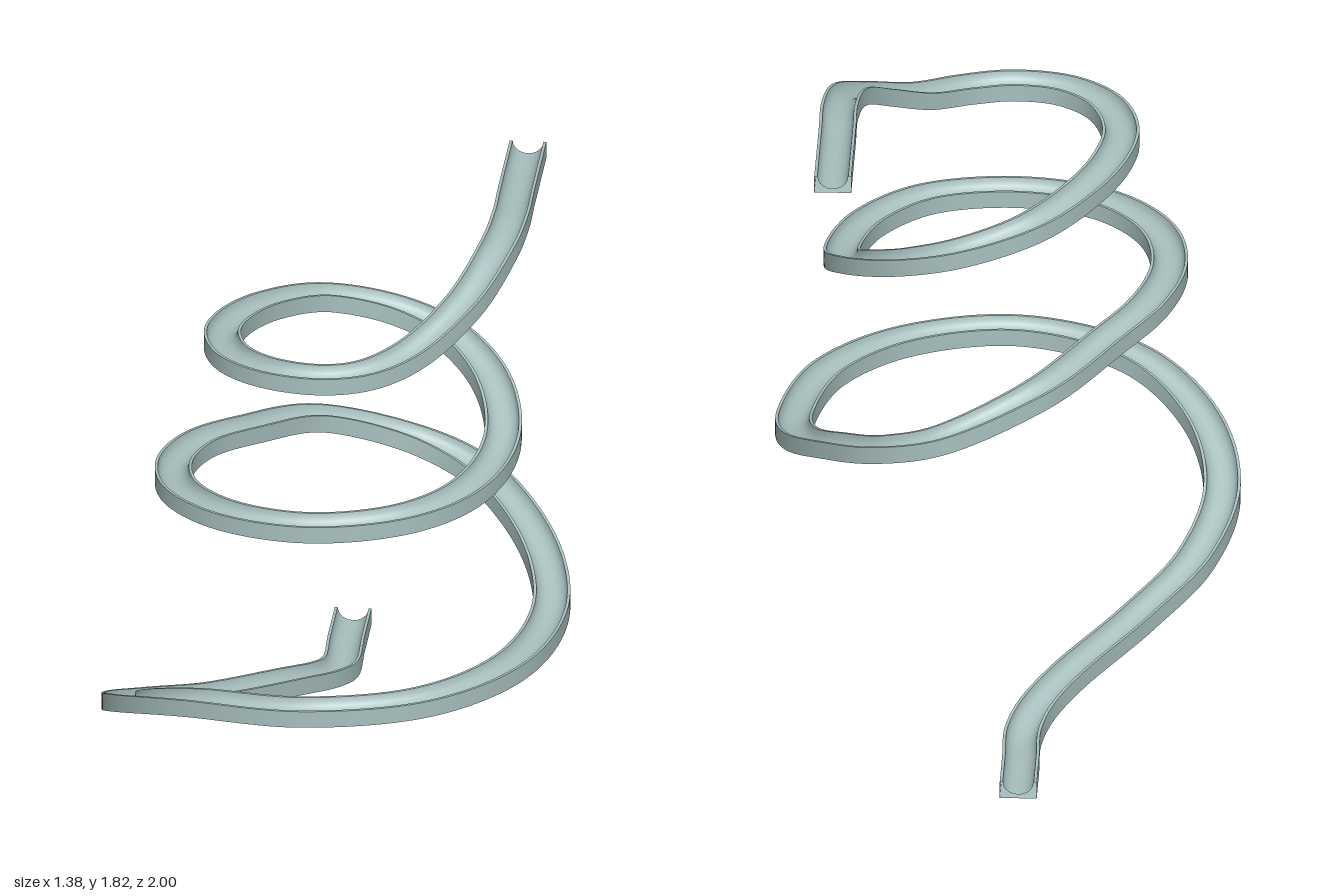
import * as THREE from 'three';

// Centre line of the underside, bottom end to top end: [x, y, z]
const PATH = [
  [-0.085, 0, -1], [-0.085, 0, -0.8], [-0.085, 0.003, -0.63], [-0.12, 0.03, -0.51],
  [-0.205, 0.07, -0.365], [-0.41, 0.14, -0.085], [-0.565, 0.22, 0.135], [-0.635, 0.325, 0.38],
  [-0.57, 0.44, 0.62], [-0.37, 0.54, 0.83], [-0.03, 0.578, 0.945],
  [0.31, 0.585, 0.855], [0.54, 0.592, 0.61], [0.63, 0.605, 0.25], [0.6, 0.655, 0.02],
  [0.5, 0.73, -0.18], [0.35, 0.8, -0.345], [0.17, 0.86, -0.4], [-0.11, 0.965, -0.3],
  [-0.3, 1.025, -0.07], [-0.43, 1.06, 0.13], [-0.48, 1.08, 0.35], [-0.43, 1.095, 0.56],
  [-0.27, 1.105, 0.725], [-0.02, 1.11, 0.79], [0.25, 1.12, 0.715], [0.42, 1.13, 0.52],
  [0.488, 1.165, 0.22], [0.43, 1.25, 0], [0.29, 1.325, -0.15], [0.12, 1.38, -0.195],
  [-0.08, 1.435, -0.14], [-0.23, 1.475, 0.02], [-0.315, 1.5, 0.2], [-0.335, 1.515, 0.36],
  [-0.28, 1.525, 0.52], [-0.16, 1.53, 0.62], [0, 1.53, 0.648], [0.13, 1.535, 0.605],
  [0.26, 1.565, 0.49], [0.39, 1.65, 0.32], [0.465, 1.737, 0.13],
  [0.485, 1.762, -0.03], [0.485, 1.764, -0.2], [0.485, 1.764, -0.54],
];
const STEPS = 420;
const W = 0.055, H = 0.052; // half width and height of the channel
const R = 0.046, DIP = 0.04; // half width and depth of the trough

export function createModel() {
  const group = new THREE.Group();
  group.name = 'spiralChute';
  const material = new THREE.MeshStandardMaterial({ color: 0xa8c0bf, side: THREE.DoubleSide });
  material.name = 'paleTeal';

  const curve = new THREE.CatmullRomCurve3(PATH.map((p) => new THREE.Vector3(...p)), false, 'centripetal');
  curve.arcLengthDivisions = 2000;

  // Upright frames along the path
  const worldUp = new THREE.Vector3(0, 1, 0);
  const frames = [];
  for (let i = 0; i <= STEPS; i++) {
    const t = curve.getTangentAt(i / STEPS);
    const side = new THREE.Vector3().crossVectors(t, worldUp).normalize();
    const up = new THREE.Vector3().crossVectors(side, t);
    frames.push({ p: curve.getPointAt(i / STEPS), side, up });
  }

  // Sweeps one run of the cross-section [across, up] along the path
  function sweep(name, profile) {
    const pos = [], index = [], n = profile.length;
    frames.forEach(({ p, side, up }, i) => {
      profile.forEach(([u, v], j) => {
        const q = p.clone().addScaledVector(side, u).addScaledVector(up, v);
        pos.push(q.x, q.y, q.z);
        if (i < STEPS && j < n - 1) {
          const a = i * n + j, c = a + n;
          index.push(a, a + 1, c, a + 1, c + 1, c);
        }
      });
    });
    const geo = new THREE.BufferGeometry();
    geo.setAttribute('position', new THREE.Float32BufferAttribute(pos, 3));
    geo.setIndex(index);
    geo.computeVertexNormals();
    const mesh = new THREE.Mesh(geo, material);
    mesh.name = name;
    group.add(mesh);
  }

  // Rounded sliding surface
  const trough = [];
  for (let k = 0; k <= 10; k++) {
    const a = (Math.PI * k) / 10;
    trough.push([-R * Math.cos(a), H - DIP * Math.sin(a)]);
  }
  sweep('trough', trough);

  // Flat rims, outer walls and underside; the ends stay open
  sweep('rightRim', [[R, H], [W, H]]);
  sweep('leftRim', [[-W, H], [-R, H]]);
  sweep('rightWall', [[W, H], [W, 0]]);
  sweep('leftWall', [[-W, 0], [-W, H]]);
  sweep('underside', [[W, 0], [-W, 0]]);

  return group;
}
